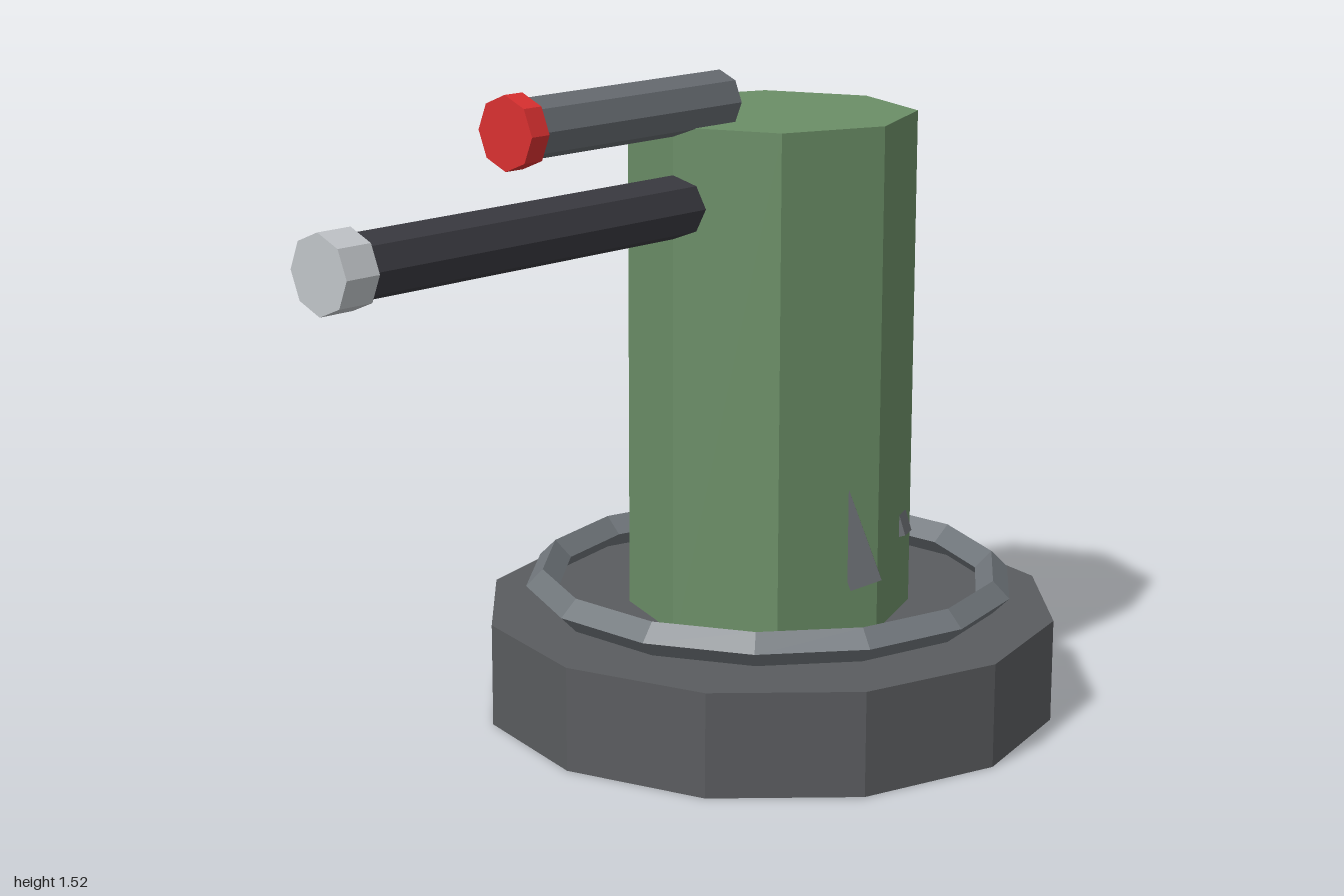
import * as THREE from 'three';

const CZ = -0.333; // axis of the turret

function createModel() {
  const model = new THREE.Group();

  function add(name, geometry, color, x, y, z) {
    const material = new THREE.MeshStandardMaterial({ color, flatShading: true });
    const mesh = new THREE.Mesh(geometry, material);
    mesh.name = name;
    mesh.position.set(x, y, z);
    model.add(mesh);
    return mesh;
  }

  // Upright faceted drum between two heights
  function drum(name, radius, sides, y0, y1, color) {
    add(name, new THREE.CylinderGeometry(radius, radius, y1 - y0, sides), color, 0, (y0 + y1) / 2, CZ);
  }

  // Octagonal rod pointing forwards between two depths
  function rod(name, radius, y, z0, z1, color) {
    const g = new THREE.CylinderGeometry(radius, radius, z1 - z0, 8).rotateX(Math.PI / 2);
    add(name, g, color, 0, y, (z0 + z1) / 2);
  }

  // Slanted brace: foot = middle of its lower outer edge, lean = long axis, out = outward side
  function brace(name, foot, lean, out, depth, length, width, side) {
    const d = new THREE.Vector3(lean[0] * side, lean[1], lean[2]).normalize();
    const u = new THREE.Vector3(out[0] * side, out[1], out[2]);
    u.addScaledVector(d, -u.dot(d)).normalize();
    const v = new THREE.Vector3().crossVectors(u, d);
    const mesh = add(name, new THREE.BoxGeometry(depth, length, width), 0x6a6d72, foot[0] * side, foot[1], foot[2]);
    mesh.position.addScaledVector(d, length / 2).addScaledVector(u, -depth / 2);
    mesh.quaternion.setFromRotationMatrix(new THREE.Matrix4().makeBasis(u, d, v));
  }

  // Base and tower
  drum('base', 0.667, 12, 0, 0.24, 0x5a5c5f);
  drum('tower', 0.327, 8, 0.2, 1.395, 0x6b8e67);

  // Diamond-section ring floating just above the base
  add('ring', new THREE.TorusGeometry(0.532, 0.039, 4, 14).rotateX(Math.PI / 2), 0x70767b, 0, 0.299, CZ);

  // Gun barrel with its muzzle
  rod('barrel', 0.071, 1.218, -0.12, 0.93, 0x3a3a40);
  rod('muzzle', 0.085, 1.217, 0.915, 1.0, 0xc0c4c8);

  // Sighting tube with a red lens
  rod('sightTube', 0.066, 1.44, -0.155, 0.46, 0x666b70);
  rod('sightLens', 0.08, 1.438, 0.445, 0.495, 0xd93030);

  // Braces sunk into the tower, mirrored left and right
  for (const side of [1, -1]) {
    brace('frontBrace', [0.328, 0.356, -0.293], [-0.24, 0.94, 0.24], [0.707, 0, 0.707], 0.06, 0.45, 0.074, side);
    brace('rearBrace', [0.268, 0.42, -0.515], [-0.28, 0.95, 0.11], [0.92, 0, -0.38], 0.06, 0.3, 0.05, side);
  }

  return model;
}

export { createModel };
